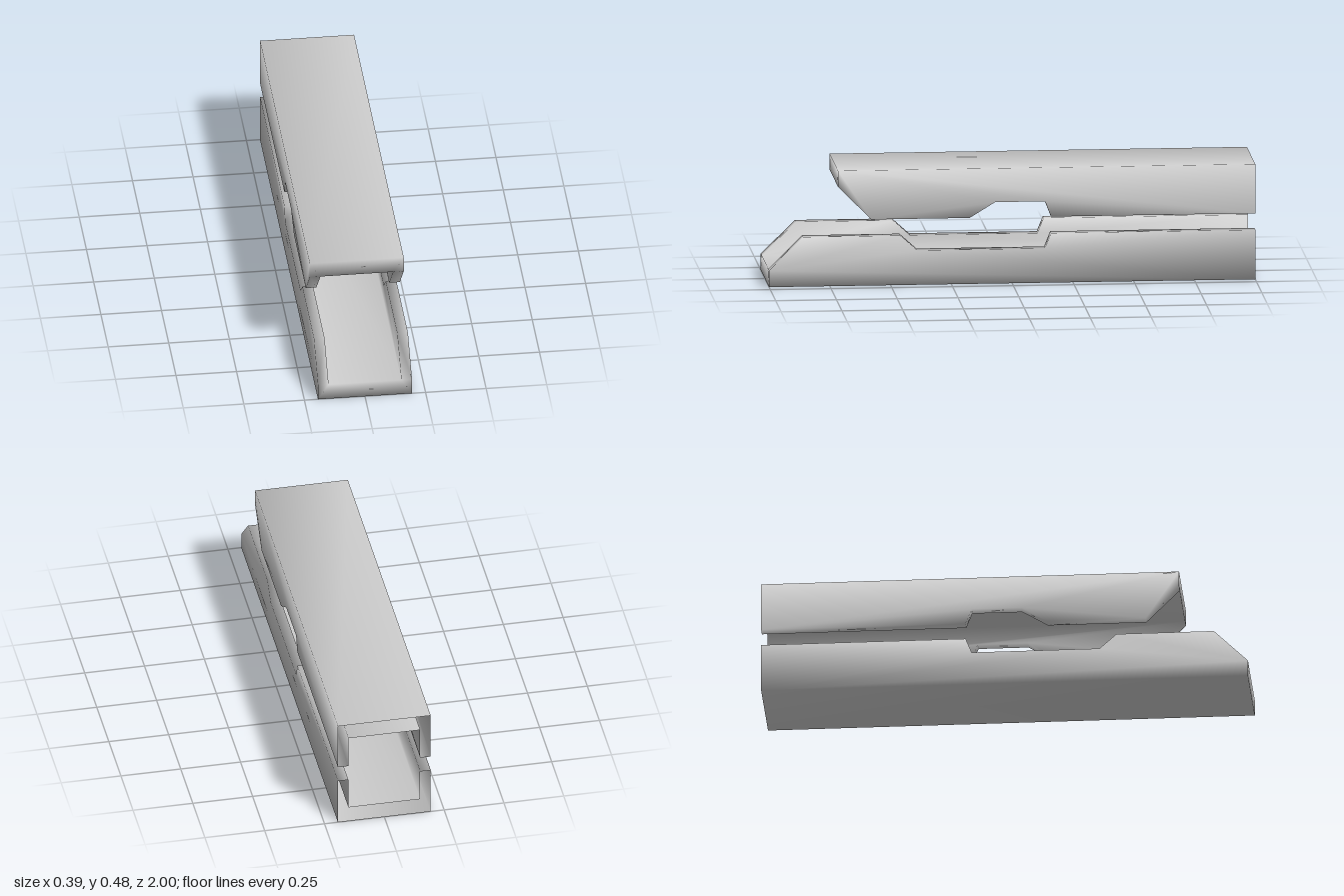
import * as THREE from 'three';

const OUTER = 0.194, INNER = 0.15;

// U-shaped channel, open at the back. rim: [z, y] points from the front lip to the back,
// base: y of the outer web face, floor: y of the inner web face.
function createChannel(name, rim, base, floor, material) {
  const positions = [], index = [];
  const up = Math.sign(floor - base);
  const v = new THREE.Vector3(), e1 = new THREE.Vector3(), e2 = new THREE.Vector3();
  const point = (i) => new THREE.Vector3().fromArray(positions, i * 3);
  const add = (x, [z, y]) => positions.push(x, y, z) / 3 - 1;

  // adds a triangle wound so that it faces the given direction
  const tri = (a, b, c, facing) => {
    const o = point(a);
    v.crossVectors(e1.subVectors(point(b), o), e2.subVectors(point(c), o));
    if (v.dot(facing) < 0) index.push(a, c, b);
    else index.push(a, b, c);
  };
  const quad = (a, b, c, d, facing) => {
    tri(a, b, c, facing);
    tri(a, c, d, facing);
  };
  const fill = (outline, ids, facing) => {
    const contour = outline.map(([z, y]) => new THREE.Vector2(z, y));
    for (const [a, b, c] of THREE.ShapeUtils.triangulateShape(contour, [])) {
      tri(ids[a], ids[b], ids[c], facing);
    }
  };

  const front = rim[0][0], back = rim[rim.length - 1][0];
  const n = rim.length;
  const upward = new THREE.Vector3(0, up, 0);
  const downward = new THREE.Vector3(0, -up, 0);
  const forward = new THREE.Vector3(0, 0, 1);

  // side walls with their stepped rims
  const [L, R] = [1, -1].map((s) => {
    const outerLine = [...rim, [back, base], [front, base]];
    const innerLine = [...rim, [back, floor]];
    const outer = outerLine.map((p) => add(s * OUTER, p));
    const inner = innerLine.map((p) => add(s * INNER, p));
    fill(outerLine, outer, new THREE.Vector3(s, 0, 0));
    fill(innerLine, inner, new THREE.Vector3(-s, 0, 0));
    for (let i = 0; i < n - 1; i++) {
      quad(outer[i], outer[i + 1], inner[i + 1], inner[i], upward);
    }
    return { outer, inner };
  });

  // web: outer face, inner face and front edge
  quad(L.outer[n], L.outer[n + 1], R.outer[n + 1], R.outer[n], downward);
  quad(L.inner[0], L.inner[n], R.inner[n], R.inner[0], upward);
  quad(L.outer[n + 1], R.outer[n + 1], R.inner[0], L.inner[0], forward);
  tri(L.outer[n + 1], L.inner[0], L.outer[0], forward);
  tri(R.outer[n + 1], R.outer[0], R.inner[0], forward);

  const geometry = new THREE.BufferGeometry();
  geometry.setAttribute('position', new THREE.Float32BufferAttribute(positions, 3));
  geometry.setIndex(index);
  geometry.computeVertexNormals();
  const mesh = new THREE.Mesh(geometry, material);
  mesh.name = name;
  return mesh;
}

export function createModel() {
  const group = new THREE.Group();
  group.name = 'channelPair';
  const material = new THREE.MeshStandardMaterial({ color: 0xcccccc, side: THREE.DoubleSide });

  const lowerRim = [
    [1, 0.068], [0.86, 0.206], [0.46, 0.206], [0.39, 0.143],
    [-0.135, 0.143], [-0.16, 0.206], [-1, 0.206],
  ];
  const upperRim = [
    [0.717, 0.414], [0.58, 0.275], [0.175, 0.275], [0.07, 0.339],
    [-0.135, 0.339], [-0.16, 0.275], [-1, 0.275],
  ];
  group.add(createChannel('lowerChannel', lowerRim, 0, 0.068, material));
  group.add(createChannel('upperChannel', upperRim, 0.48, 0.414, material));
  return group;
}
